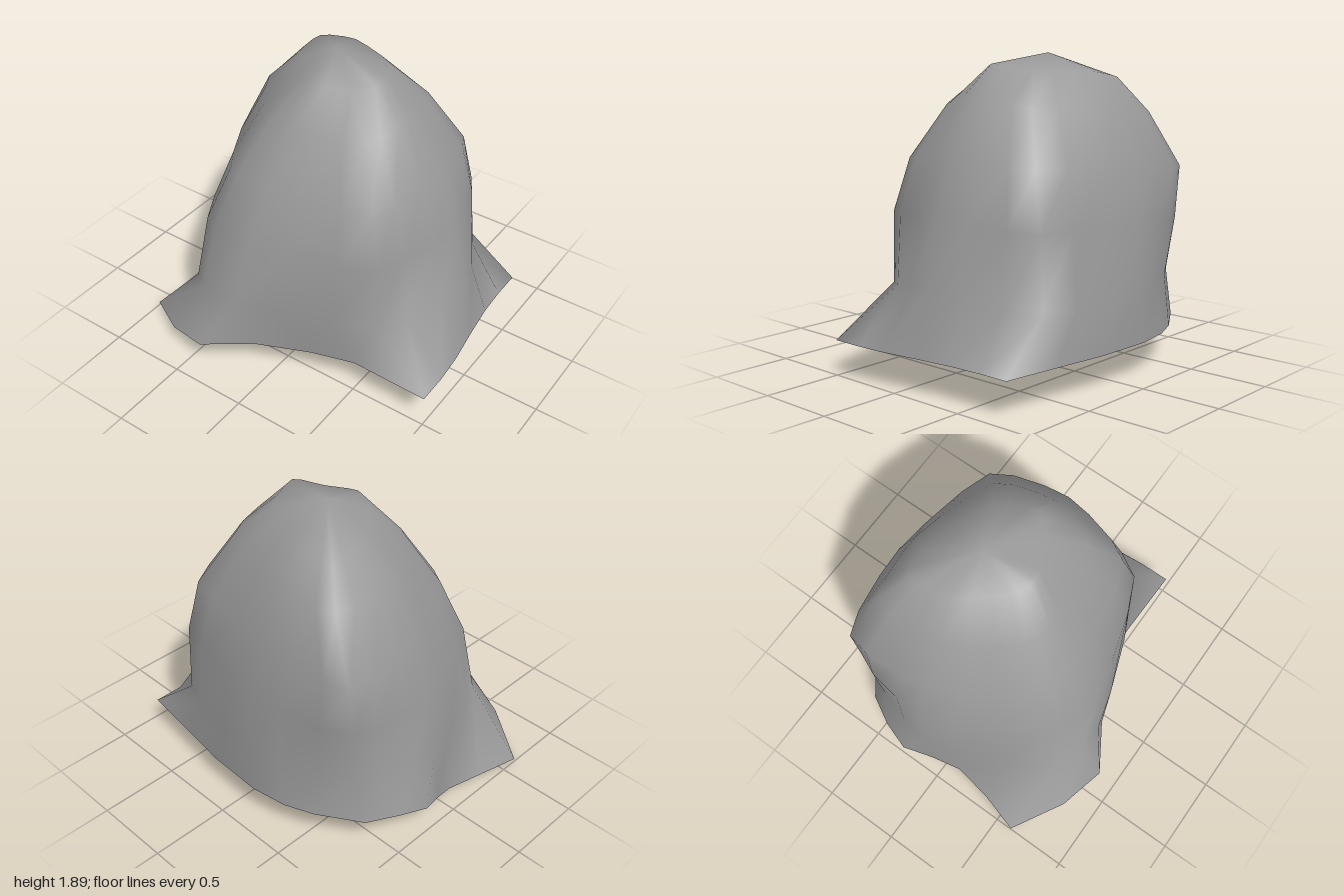
import * as THREE from 'three';

const SEGMENTS = 24;

// Hem of the cloth, clockwise seen from above, starting at +x: x, y, z
const HEM = [
  [0.885, 0.215, -0.17], [0.87, 0.215, 0.2], [0.82, 0.215, 0.55],
  [0.77, 0.215, 0.91], [0.58, 0.215, 0.91], [0.38, 0.215, 0.92],
  [0.14, 0.215, 0.95], [-0.1, 0.215, 0.985], [-0.3, 0.215, 1],
  [-0.5, 0.215, 1], [-0.49, 0.215, 0.5], [-0.57, 0.215, 0.23],
  [-0.71, 0.215, -0.1], [-0.89, 0.19, -0.39], [-0.81, 0.12, -0.68],
  [-0.61, 0.02, -1], [-0.35, 0, -0.92], [-0.1, 0.025, -0.88],
  [0.08, 0.1, -0.93], [0.26, 0.19, -1], [0.44, 0.215, -0.94],
  [0.62, 0.215, -0.84], [0.78, 0.215, -0.58], [0.85, 0.215, -0.4],
];

// Cross-sections of the dome, bottom to top, eight points each in the same order
const SECTIONS = [
  [[0.885, 0.53, -0.15], [0.73, 0.5, 0.57], [0.15, 0.6, 0.87], [-0.43, 0.51, 0.6],
    [-0.74, 0.52, -0.22], [-0.585, 0.43, -0.64], [0.12, 0.51, -0.92], [0.635, 0.53, -0.75]],
  [[0.85, 0.93, -0.15], [0.71, 0.94, 0.57], [0.13, 0.98, 0.775], [-0.42, 0.95, 0.6],
    [-0.66, 0.91, -0.15], [-0.53, 0.88, -0.57], [0.15, 0.88, -0.87], [0.68, 0.86, -0.77]],
  [[0.775, 1.28, -0.2], [0.64, 1.26, 0.53], [0.13, 1.34, 0.65], [-0.36, 1.27, 0.52],
    [-0.49, 1.29, -0.12], [-0.41, 1.23, -0.46], [0.15, 1.21, -0.77], [0.7, 1.19, -0.78]],
  [[0.645, 1.56, -0.15], [0.47, 1.6, 0.36], [0.1, 1.64, 0.46], [-0.2, 1.59, 0.36],
    [-0.3, 1.58, -0.08], [-0.24, 1.56, -0.32], [0.15, 1.55, -0.59], [0.6, 1.53, -0.58]],
  [[0.49, 1.78, -0.18], [0.33, 1.8, 0.18], [0.09, 1.83, 0.28], [-0.04, 1.79, 0.15],
    [-0.12, 1.8, -0.05], [-0.06, 1.77, -0.2], [0.2, 1.75, -0.4], [0.47, 1.74, -0.43]],
];
const APEX = [0.19, 1.89, -0.11];

// Closed ring, only gently rounded, through the eight points of a cross-section
function sectionRing(section) {
  const points = section.map((p) => new THREE.Vector3(...p));
  const curve = new THREE.CatmullRomCurve3(points, true, 'catmullrom', 0.3);
  return Array.from({ length: SEGMENTS }, (_, i) => curve.getPoint(i / SEGMENTS).toArray());
}

// Open shell lofted from the hem through the sections to the apex
function drapedShell() {
  const rings = [HEM, ...SECTIONS.map(sectionRing)];
  const positions = [...rings.flat(2), ...APEX];
  const top = rings.length * SEGMENTS;
  const index = [];
  for (let j = 0; j < rings.length; j++) {
    for (let i = 0; i < SEGMENTS; i++) {
      const next = (i + 1) % SEGMENTS;
      const a = j * SEGMENTS + i, b = j * SEGMENTS + next;
      if (j === rings.length - 1) {
        index.push(a, top, b);
      } else {
        const c = a + SEGMENTS, d = b + SEGMENTS;
        index.push(a, c, b, b, c, d);
      }
    }
  }
  const geometry = new THREE.BufferGeometry();
  geometry.setAttribute('position', new THREE.Float32BufferAttribute(positions, 3));
  geometry.setIndex(index);
  geometry.computeVertexNormals();
  return geometry;
}

export function createModel() {
  const model = new THREE.Group();
  model.name = 'drapedHood';
  const material = new THREE.MeshStandardMaterial({ color: 0x999999, side: THREE.DoubleSide });
  const cloth = new THREE.Mesh(drapedShell(), material);
  cloth.name = 'cloth';
  model.add(cloth);
  return model;
}
